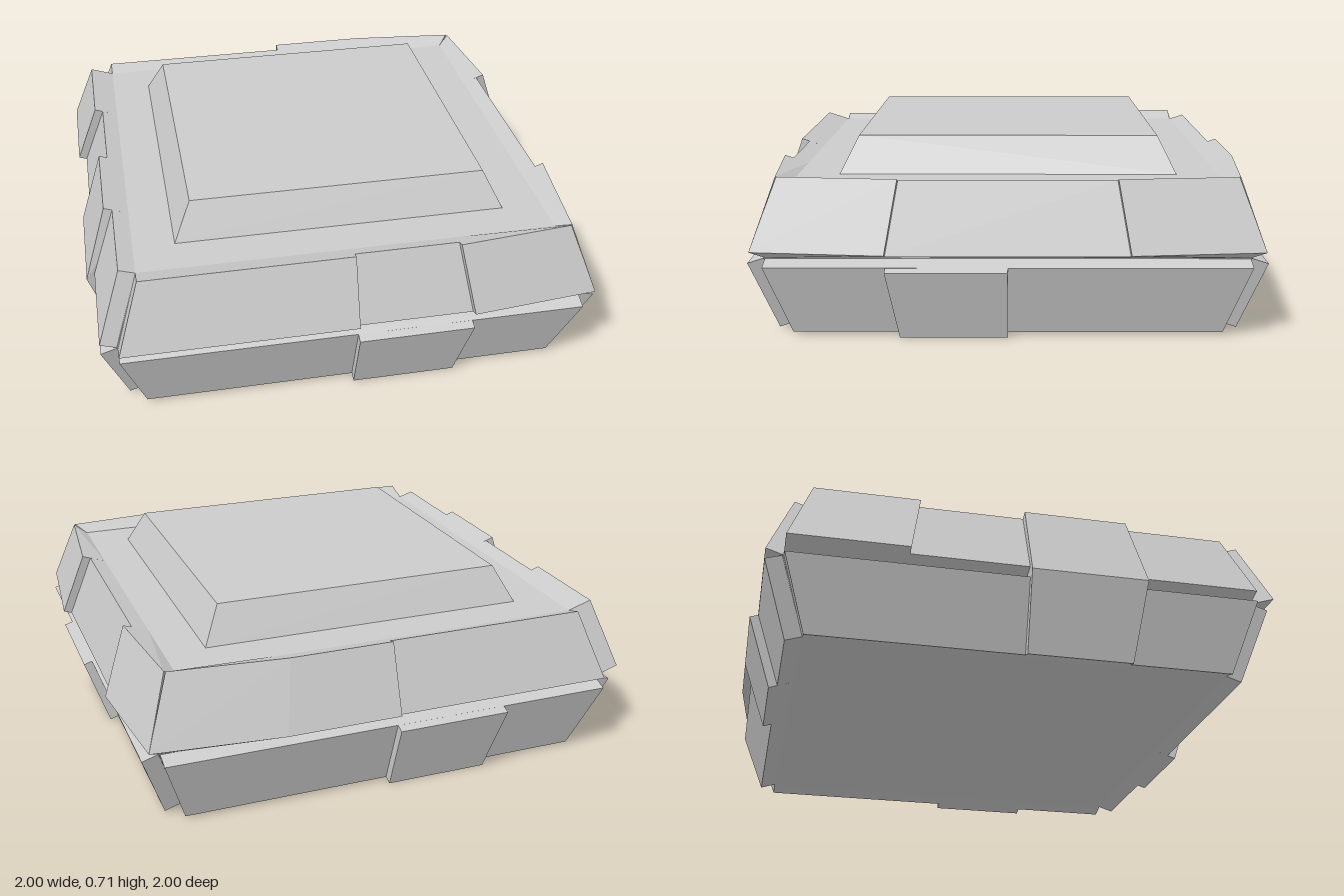
import * as THREE from 'three';
import { ConvexGeometry } from 'three/addons/geometries/ConvexGeometry.js';

// Maps (position along a side, distance outward) to x and z
const sides = {
  front: (u, d) => [u, d],
  back: (u, d) => [u, -d],
  left: (u, d) => [d, u],
  right: (u, d) => [-d, u],
};
const NARROW = 0.9; // plates narrow towards the top and bottom of the body

export function createModel() {
  const group = new THREE.Group();
  const material = new THREE.MeshStandardMaterial({ color: 0xcccccc, flatShading: true });

  function solid(name, points) {
    const mesh = new THREE.Mesh(new ConvexGeometry(points), material);
    mesh.name = name;
    group.add(mesh);
  }

  // Stack of squares given as [half width, height]
  function squares(name, levels) {
    const points = [];
    for (const [h, y] of levels)
      for (const sx of [-1, 1]) for (const sz of [-1, 1]) points.push(new THREE.Vector3(sx * h, y, sz * h));
    solid(name, points);
  }

  // Sloped armour plate from u0 to u1; drop0/drop1 sink its ends into the body
  function plate(name, side, upper, u0, u1, recessed = false, drop0 = 0, drop1 = 0) {
    const cut = recessed ? 0.033 : 0;
    const lift = recessed ? 0.011 : 0;
    const [yWide, yNarrow, sign] = upper ? [0.34, 0.605, -1] : [0.275, 0, 1];
    const points = [];
    const add = (u, d, y) => {
      const [x, z] = sides[side](u, d);
      points.push(new THREE.Vector3(x, y, z));
    };
    for (const [u, drop] of [[u0, drop0], [u1, drop1]]) {
      const inner = THREE.MathUtils.clamp(u, -0.9, 0.9);
      add(u, 1 - cut - drop, yWide + sign * lift);
      add(u * NARROW, 0.905 - cut - drop * 0.9, yNarrow + sign * lift);
      add(inner, 0.905, yWide + sign * 0.031);
      add(inner * NARROW, 0.81, yNarrow + sign * 0.031);
    }
    solid(name, points);
  }

  // Body core and raised lid
  squares('core', [[0.81, 0.031], [0.905, 0.307], [0.81, 0.574]]);
  squares('lid', [[0.65, 0.574], [0.58, 0.715]]);

  // Upper plates, front and back
  plate('upperFrontPlate', 'front', true, -0.9, 0);
  plate('upperFrontRecess', 'front', true, 0, 0.45, true);
  plate('upperBackRecess', 'back', true, -0.9, 0, true);
  plate('upperBackPlate', 'back', true, 0, 0.45);

  // Corner plates wrapping both left corners
  for (const side of ['front', 'back']) plate('cornerPlate', side, true, 0.45, 0.95, false, 0, 0.05);
  plate('cornerPlate', 'left', true, 0.45, 0.95, false, 0, 0.05);
  plate('cornerPlate', 'left', true, -0.95, -0.45, false, 0.05, 0);
  plate('upperLeftRecess', 'left', true, -0.45, 0.45, true);

  // Upper plates, right
  plate('upperRightPlate', 'right', true, -0.9, -0.45);
  plate('upperRightRecess', 'right', true, -0.45, 0, true);
  plate('upperRightRecess', 'right', true, 0.45, 0.9, true);

  // Clamp joining the upper and lower tiers on the right
  const clamp = [];
  for (const [d, y, w] of [[0.905, 0.605, 0.405], [1, 0.305, 0.45], [0.905, 0, 0.405], [0.81, 0.574, 0.405], [0.81, 0.031, 0.405]])
    for (const z of [0, w]) clamp.push(new THREE.Vector3(-d, y, z));
  solid('rightClamp', clamp);

  // Lower plates: a recessed band with one raised plate per side
  for (const side of Object.keys(sides)) {
    plate('lowerRecess', side, false, -0.9, 0.9, true);
    if (side === 'back') plate('lowerPlate', side, false, -0.45, 0);
    else if (side !== 'right') plate('lowerPlate', side, false, 0, 0.45);
  }
  return group;
}
